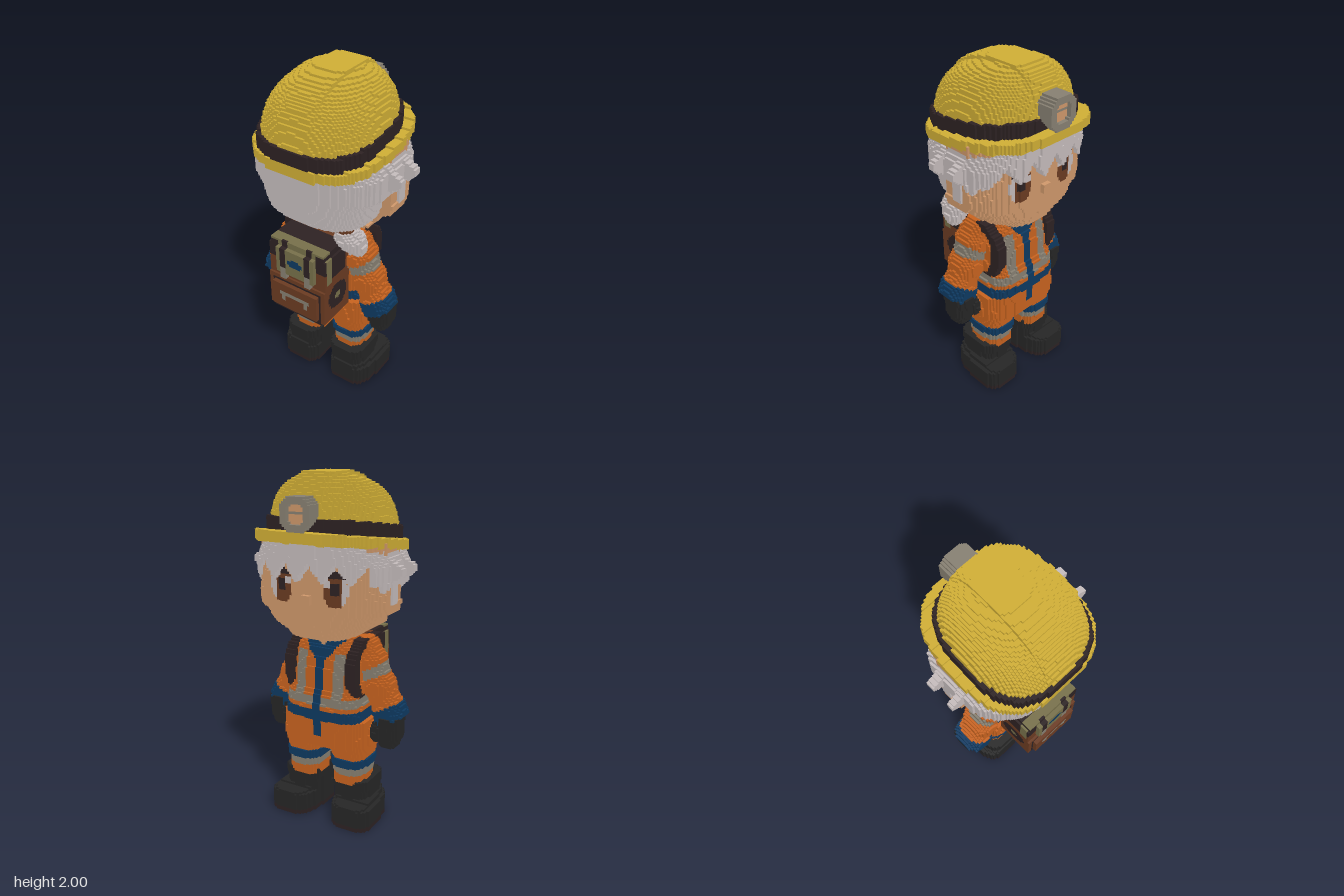
import * as THREE from 'three';

const S = 0.0125; // voxel size
const N = [80, 162, 68]; // grid cells, with an empty margin all round
const LO = [-40, -1, -34]; // grid corner in cells

const colours = {
  yellow: 0xd0ae35, bandDark: 0x2d2223, black: 0x262626, orange: 0xc8631f, blue: 0x0e3a62,
  skin: 0xcf986b, hair: 0xc5bcbc, grey: 0x878072, brown: 0x6b3b22, olive: 0x77704a,
};
const names = Object.keys(colours);
const mats = names.map((n) => {
  const m = new THREE.MeshStandardMaterial({ color: colours[n] });
  m.name = n;
  return m;
});

const DIRS = [[1, 0, 0], [-1, 0, 0], [0, 1, 0], [0, -1, 0], [0, 0, 1], [0, 0, -1]];
const id = (p) => (p[0] * N[1] + p[1]) * N[2] + p[2];
const inside = (p) => p.every((v, a) => v >= 0 && v < N[a]);
const each = (f) => {
  for (let i = 0; i < N[0]; i++) for (let j = 0; j < N[1]; j++) for (let k = 0; k < N[2]; k++) f([i, j, k]);
};

// Fills one shared grid from the part rules and makes a mesh of each part's outer skin.
function voxelModel(parts) {
  const cells = new Int16Array(N[0] * N[1] * N[2]); // 0 empty, -1 open air, else part and colour
  each((p) => {
    const [x, y, z] = p.map((v, a) => (LO[a] + v + 0.5) * S);
    for (let q = 0; q < parts.length; q++) {
      const [, y0, y1, rule] = parts[q];
      const c = y > y0 && y < y1 && rule(x, y, z);
      if (!c) continue;
      cells[id(p)] = 1 + q * 10 + names.indexOf(c);
      return;
    }
  });
  const stack = [[0, 0, 0]];
  cells[0] = -1;
  while (stack.length) {
    const p = stack.pop();
    for (const d of DIRS) {
      const q = p.map((v, x) => v + d[x]);
      if (!inside(q) || cells[id(q)] !== 0) continue;
      cells[id(q)] = -1;
      stack.push(q);
    }
  }
  // exposed faces, joined in runs
  const faces = parts.map(() => names.map(() => []));
  each((p) => {
    const c = cells[id(p)];
    if (c < 1) return;
    for (const d of DIRS) {
      const a = d.findIndex((v) => v !== 0), u = (a + 1) % 3;
      const shows = (step) => {
        const q = [...p];
        q[u] += step;
        return cells[id(q)] === c && cells[id(q.map((v, x) => v + d[x]))] === -1;
      };
      if (!shows(0) || shows(-1)) continue;
      let len = 1;
      while (shows(len)) len++;
      faces[Math.floor((c - 1) / 10)][(c - 1) % 10].push([p, d, a, len]);
    }
  });
  return parts.map(([name], part) => {
    const pos = [], nor = [], geo = new THREE.BufferGeometry();
    faces[part].forEach((list, c) => {
      const start = pos.length / 3;
      for (const [p, d, a, len] of list) {
        const quad = [[0, 0], [len, 0], [len, 1], [0, 1]];
        for (const o of d[a] > 0 ? [0, 1, 2, 0, 2, 3] : [0, 2, 1, 0, 3, 2]) {
          const w = [0, 0, 0];
          w[a] = d[a] > 0 ? 1 : 0;
          w[(a + 1) % 3] = quad[o][0];
          w[(a + 2) % 3] = quad[o][1];
          pos.push(...w.map((t, x) => (LO[x] + p[x] + t) * S));
          nor.push(...d);
        }
      }
      if (list.length) geo.addGroup(start, pos.length / 3 - start, c);
    });
    geo.setAttribute('position', new THREE.Float32BufferAttribute(pos, 3));
    geo.setAttribute('normal', new THREE.Float32BufferAttribute(nor, 3));
    const mesh = new THREE.Mesh(geo, mats);
    mesh.name = name;
    return mesh;
  });
}

// Piecewise linear value over height
const curve = (pts) => (y) => {
  if (y <= pts[0][0]) return pts[0][1];
  for (let i = 1; i < pts.length; i++) {
    const [a, va] = pts[i - 1], [b, vb] = pts[i];
    if (y <= b) return va + ((vb - va) * (y - a)) / (b - a);
  }
  return pts[pts.length - 1][1];
};
const oval = (x, z, a, b, n) => Math.abs(x / a) ** n + Math.abs(z / b) ** n < 1;
const within = (v, a, b) => v > a && v < b;
const zig = (u, step, amp) => Math.abs((((u / step) % 1) + 1) % 1 - 0.5) * 2 * amp;

// Hard hat, tilted up towards the face
function helmet(x, y, z) {
  const h = y + 0.14 * z, ax = Math.abs(x), zc = z - 0.03;
  if (within(h, 1.608, 1.66) && oval(x, z, 0.372, 0.393, 2.8)) return 'yellow';
  if (within(h, 1.66, 1.735) && oval(x, zc, 0.328, 0.357, 2.8)) return 'bandDark';
  const rho = ((ax / 0.317) ** 2.6 + Math.abs(zc / 0.347) ** 2.6) ** (1 / 2.6);
  const up = Math.max(0, (h - 1.62) / (ax < 0.1 ? 0.385 : 0.365));
  return h > 1.6 && rho ** 2.8 + up ** 2.8 < 1 ? 'yellow' : null;
}

// Octagonal lamp with a recessed lens
function lamp(x, y, z) {
  const cy = y - 1.805 - (z + 0.33) * 0.1;
  const r = Math.max(Math.abs(x), Math.abs(cy), (Math.abs(x) + Math.abs(cy)) * 0.64);
  if (r > 0.082 || !within(z, -0.388, -0.288)) return null;
  if (z < -0.365) return r > 0.05 ? 'grey' : null;
  return r < 0.05 && Math.abs(cy) > 0.008 ? 'skin' : 'grey';
}

const headW = curve([[1.12, 0.17], [1.16, 0.22], [1.2, 0.3], [1.26, 0.335], [1.28, 0.385], [1.32, 0.395], [1.6, 0.375]]);
const headD = curve([[1.12, 0.23], [1.22, 0.275], [1.6, 0.275]]);
function head(x, y, z) {
  const ax = Math.abs(x);
  if (ax < 0.022 && within(y, 1.32, 1.37) && within(z, -0.3, -0.2)) return 'skin'; // nose
  if (z > (y > 1.2 ? 0.05 : 0.1) || !oval(x, z, headW(y), headD(y), 3.2)) return null;
  if (z < -0.12) {
    const ex = ax - 0.165, ey = y - 1.415;
    if (oval(ex, ey, 0.068, 0.095, 2.4)) {
      if (ey > 0.055 || (Math.abs(ex) < 0.022 && within(ey, -0.03, 0.03))) return 'bandDark';
      return ex > 0.04 || (ex < -0.025 && within(ey, 0.015, 0.05)) ? 'hair' : 'brown';
    }
  }
  return 'skin';
}

const hairW = curve([[1.16, 0.14], [1.19, 0.23], [1.22, 0.285], [1.28, 0.325], [1.38, 0.35], [1.42, 0.395], [1.53, 0.395], [1.6, 0.365], [1.66, 0.32]]);
const hairD = curve([[1.16, 0.2], [1.2, 0.26], [1.25, 0.32], [1.36, 0.337], [1.55, 0.337], [1.66, 0.3]]);
function hair(x, y, z) {
  const ax = Math.abs(x);
  // flicked side tufts
  if (within(ax, 0.36, 0.462) && Math.abs(y - 1.505) < 0.065 - (ax - 0.38) * 0.55
    && (within(z, -0.105, -0.05) || within(z, 0.045, 0.09))) return 'hair';
  if (y + 0.14 * z > 1.62) return null;
  if (z > 0.04) return oval(x, z, hairW(y), hairD(y), 2.9) ? 'hair' : null;
  // side locks and fringe
  const lock = within(z, -0.07, -0.015);
  const side = lock ? 1.32 : z > -0.015 ? 1.42 : 1.39 + zig(z, 0.09, 0.06);
  if (y < (z > -0.2 ? side : 1.45 + zig(x + 0.03, 0.15, 0.1))) return null;
  return oval(x, z, y < 1.45 ? 0.402 : hairW(y) + 0.005, 0.32, 2.9) ? 'hair' : null;
}

function ponytail(x, y, z) {
  const t = (1.25 - y) / 0.2;
  const r = curve([[0, 0.04], [0.2, 0.045], [0.5, 0.075], [0.8, 0.06], [1, 0.03]])(t);
  if (!oval(x - 0.18 - 0.09 * t, z - 0.2 + 0.05 * t, r, r * 1.15, 2)) return null;
  return within(t, 0.08, 0.28) ? 'brown' : 'hair';
}

// Jacket with collar, zip and reflective tape
const torsoW = curve([[0.58, 0.25], [0.7, 0.235], [0.95, 0.21], [1.04, 0.2], [1.1, 0.14]]);
const torsoF = curve([[0.58, -0.185], [0.68, -0.2], [0.77, -0.19], [0.82, -0.165], [0.92, -0.16], [1.04, -0.135], [1.1, -0.1]]);
function torso(x, y, z) {
  const ax = Math.abs(x), f = torsoF(y), mid = (f + 0.12) / 2;
  if (y > 1.04 && oval(x, z, 0.12, 0.11, 2.5)) {
    return y > 1.115 || (z < -0.04 && ax < (y - 1.05) * 0.7) ? 'skin' : 'blue';
  }
  if (y > 1.1 || !oval(x, z - mid, torsoW(y), (0.12 - f) / 2, 3.4)) return null;
  const front = z < mid;
  if (within(y, 0.64, 0.7) || (front && ax < 0.02 + Math.max(0, y - 0.97) * 0.8)) return 'blue';
  if (within(y, 0.72, 0.775) && z < 0.02) return 'grey';
  return front && within(ax, 0.09, 0.145) && within(y, 0.77, 1.03) ? 'grey' : 'orange';
}

// Trousers with blue and reflective bands
const legW = curve([[0.24, 0.095], [0.4, 0.105], [0.5, 0.125], [0.64, 0.12]]);
function trousers(x, y, z) {
  const ax = Math.abs(x);
  if (y > 0.48 && oval(x, z + 0.03, 0.268, 0.155, 3)) return z < -0.1 && ax < 0.02 && y > 0.54 ? 'blue' : 'orange';
  const w = legW(y) + (within(y, 0.35, 0.4) ? 0.008 : 0);
  if (ax < 0.035 || !oval(ax - 0.148, z + 0.015, w, w * 1.2, 2.8)) return null;
  return within(y, 0.355, 0.4) ? 'blue' : within(y, 0.3, 0.355) ? 'grey' : 'orange';
}

// Boots, with toes turned slightly out
function boot(x, y, z) {
  const cuff = y > 0.2, colour = y < 0.02 ? 'bandDark' : 'black';
  if (oval(x - 0.163, z - 0.01, cuff ? 0.115 : 0.108, cuff ? 0.14 : 0.13, 3.5)) return colour;
  const top = z < -0.12 ? 0.138 : 0.15, w = y < 0.12 ? 0.132 : 0.11;
  return y < top && oval(x - 0.187 + 0.1 * z, z + 0.028, w, 0.183, 3.5) ? colour : null;
}

// Sleeve slanting outwards, with a tape band and blue cuff
function sleeve(x, y, z) {
  const dx = 0.17, dy = -0.38, len = Math.hypot(dx, dy);
  const t = ((x - 0.19) * dx + (y - 1.02) * dy) / (len * len);
  const side = ((x - 0.19) * dy - (y - 1.02) * dx) / len;
  const cuff = t > 0.82, r = cuff ? 0.088 : 0.074 + 0.01 * Math.sin(t * 9) ** 2;
  if (t > 1.02 || t < -0.2) return null;
  const cap = t < 0 ? Math.sqrt(1 - (t / 0.2) ** 2) : 1;
  if (!oval(side, z - 0.05, r * cap, r * cap * 1.2, 2.4)) return null;
  return cuff ? 'blue' : within(t, 0.24, 0.38) ? 'grey' : 'orange';
}

function glove(x, y, z) {
  const thumb = Math.hypot((x - 0.3) / 0.035, (y - 0.57) / 0.06, (z + 0.03) / 0.04) < 1;
  const w = curve([[0.47, 0.045], [0.54, 0.068], [0.66, 0.075]])(y);
  return thumb || oval(x - 0.357, z - 0.025, w, w * 1.15, 2.6) ? 'black' : null;
}

// Backpack: flap with buckled straps above, large pocket below
function pack(x, y, z) {
  const ax = Math.abs(x), upper = y > 0.86;
  if (z < 0.125 || ax > (y > 1.06 ? 0.17 : 0.185)) return null;
  if (upper) {
    if (z > (y > 1.06 ? 0.352 : 0.375)) return null;
    if (z > 0.335 && within(ax, 0.06, 0.1)) return y < 0.935 ? 'grey' : 'bandDark';
    if (z > 0.335 && oval(x, y - 0.985, 0.045, 0.024, 3)) return 'blue';
    if (z > 0.35) return ax < 0.125 && y > 0.9 ? 'olive' : null;
    if (z > 0.29 && y > 0.9) {
      if (ax < 0.125 || (ax > 0.172 && z < 0.34) || y > 1.085) return 'olive';
      return y < 0.97 ? 'brown' : 'bandDark';
    }
    return z > 0.16 && y > 0.92 ? 'bandDark' : 'brown';
  }
  if (z > 0.388 || (y < 0.64 && ax > 0.16)) return null;
  const edge = ax > 0.15 || y < 0.66 || y > 0.82;
  if (z > 0.365) {
    if (edge) return null;
    const zipper = within(y, 0.75, 0.775) && ax < 0.095, tabs = within(y, 0.715, 0.755) && within(ax, 0.06, 0.085);
    return zipper || tabs ? 'grey' : 'brown';
  }
  if (ax > 0.16) {
    const d = Math.hypot(y - 0.78, z - 0.235);
    return d < 0.025 ? 'olive' : d < 0.085 ? 'bandDark' : 'brown';
  }
  return z > 0.345 && edge && y < 0.84 ? 'bandDark' : 'brown';
}

// Shoulder strap over the top and down the chest to the underarm
const strapZ = curve([[0.76, -0.05], [0.8, -0.11], [0.88, -0.145], [1.0, -0.135], [1.07, -0.09]]);
function strap(x, y, z) {
  if (!within(x, 0.165, 0.222)) return null;
  if (y > 1.05) return within(z, -0.11 + (y - 1.05), 0.16) ? 'bandDark' : null;
  return within(z, strapZ(y) - 0.02, strapZ(y) + 0.04) ? 'bandDark' : null;
}

export function createModel() {
  const pair = (name, y0, y1, rule) => [
    ['left' + name, y0, y1, rule],
    ['right' + name, y0, y1, (x, y, z) => rule(-x, y, z)],
  ];
  const g = new THREE.Group();
  g.name = 'rescueWorker';
  g.add(...voxelModel([
    ['headLamp', 1.7, 1.9, lamp],
    ['helmet', 1.5, 2, helmet],
    ['ponytail', 1.05, 1.26, ponytail],
    ['hair', 1.16, 1.7, hair],
    ['head', 1.125, 1.65, head],
    ['backpack', 0.625, 1.1, pack],
    ...pair('Sleeve', 0.56, 1.12, sleeve),
    ...pair('Glove', 0.475, 0.66, glove),
    ...pair('PackStrap', 0.775, 1.1, strap),
    ['jacket', 0.575, 1.15, torso],
    ['trousers', 0.2375, 0.6375, trousers],
    ...pair('Boot', 0, 0.2625, boot),
  ]));
  return g;
}
